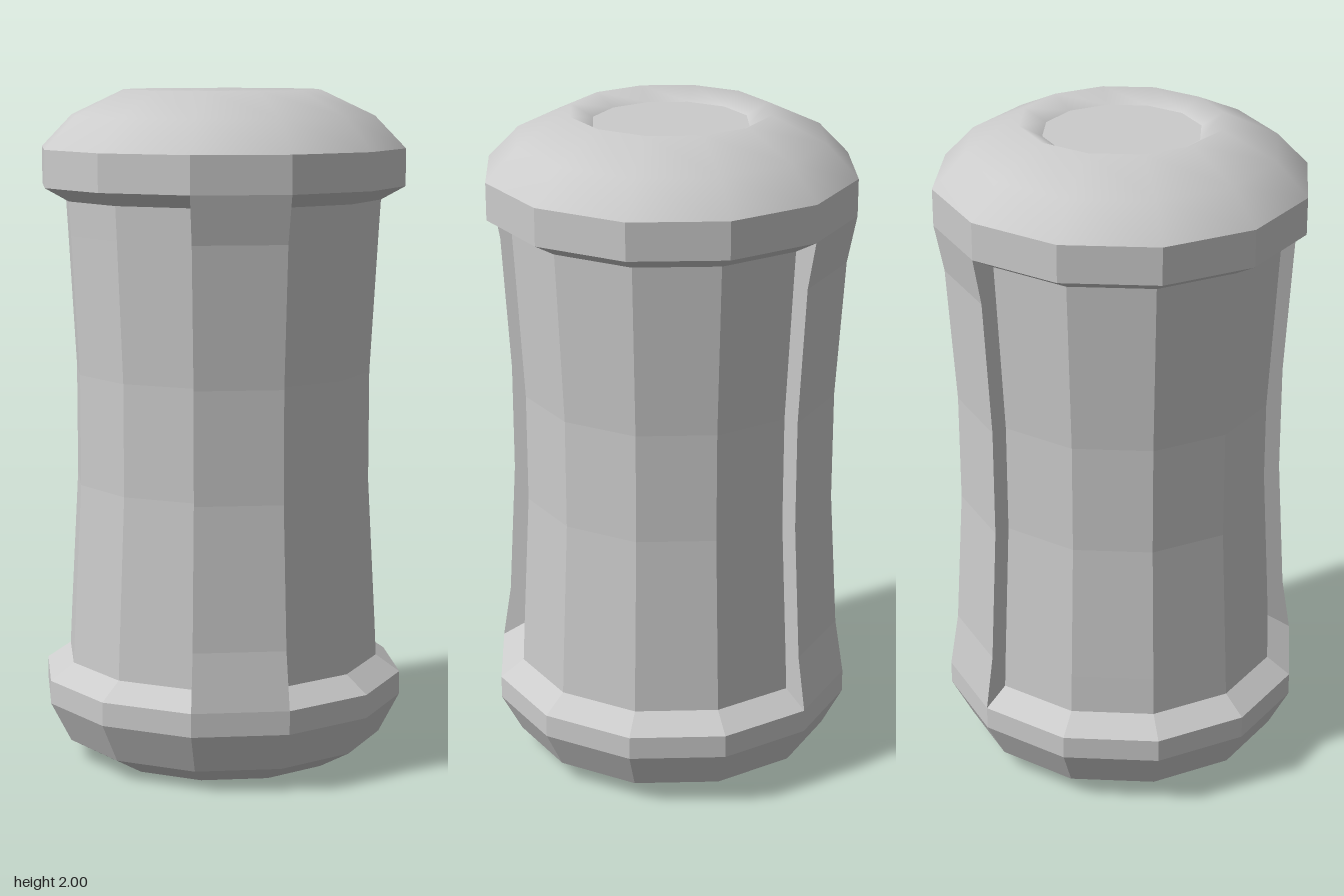
import * as THREE from 'three';

const SIDES = 12;
const STEP = (Math.PI * 2) / SIDES;

function lathe(name, profile, flatShading) {
  const points = profile.map(([r, y]) => new THREE.Vector2(r, y));
  const mesh = new THREE.Mesh(
    new THREE.LatheGeometry(points, SIDES),
    new THREE.MeshStandardMaterial({ color: 0xcccccc, flatShading })
  );
  mesh.name = name;
  return mesh;
}

// One-facet-wide rib: a box bent around the axis, its outer face following a profile
function rib(name, angle) {
  const outer = [[0.547, 0.25], [0.52, 0.42], [0.495, 0.84], [0.495, 1.17], [0.52, 1.58], [0.547, 1.72]];
  const rows = outer.length - 1;
  const geo = new THREE.BoxGeometry(1, 1, 1, 1, rows, 1);
  const pos = geo.attributes.position;
  for (let i = 0; i < pos.count; i++) {
    const [radius, y] = outer[Math.round((pos.getY(i) + 0.5) * rows)];
    const r = pos.getZ(i) > 0 ? radius : 0.4;
    const phi = angle + pos.getX(i) * STEP;
    pos.setXYZ(i, r * Math.sin(phi), y, r * Math.cos(phi));
  }
  geo.computeVertexNormals();
  const mesh = new THREE.Mesh(geo, new THREE.MeshStandardMaterial({ color: 0xcccccc, flatShading: true }));
  mesh.name = name;
  return mesh;
}

export function createModel() {
  const group = new THREE.Group();
  group.name = 'canister';

  // Rounded foot with a shallow recess underneath
  group.add(lathe('base', [
    [0, 0.03], [0.21, 0.03], [0.26, 0], [0.38, 0], [0.485, 0.06],
    [0.547, 0.18], [0.547, 0.25], [0.475, 0.3],
  ], true));

  // Waisted body
  group.add(lathe('body', [
    [0.475, 0.3], [0.469, 0.42], [0.446, 0.84], [0.446, 1.17], [0.469, 1.58], [0.475, 1.68],
  ], true));

  // Upper band
  group.add(lathe('rim', [[0.475, 1.68], [0.547, 1.72], [0.547, 1.83]], true));

  // Smooth domed lid with a sunken flat centre
  group.add(lathe('lid', [[0.547, 1.83], [0.455, 1.925], [0.295, 2], [0.23, 1.965]], false));
  group.add(lathe('lidCentre', [[0.23, 1.965], [0, 1.965]], true));

  // Opposite ribs joining base and rim
  group.add(rib('frontRib', -STEP / 2));
  group.add(rib('backRib', Math.PI - STEP / 2));

  return group;
}
